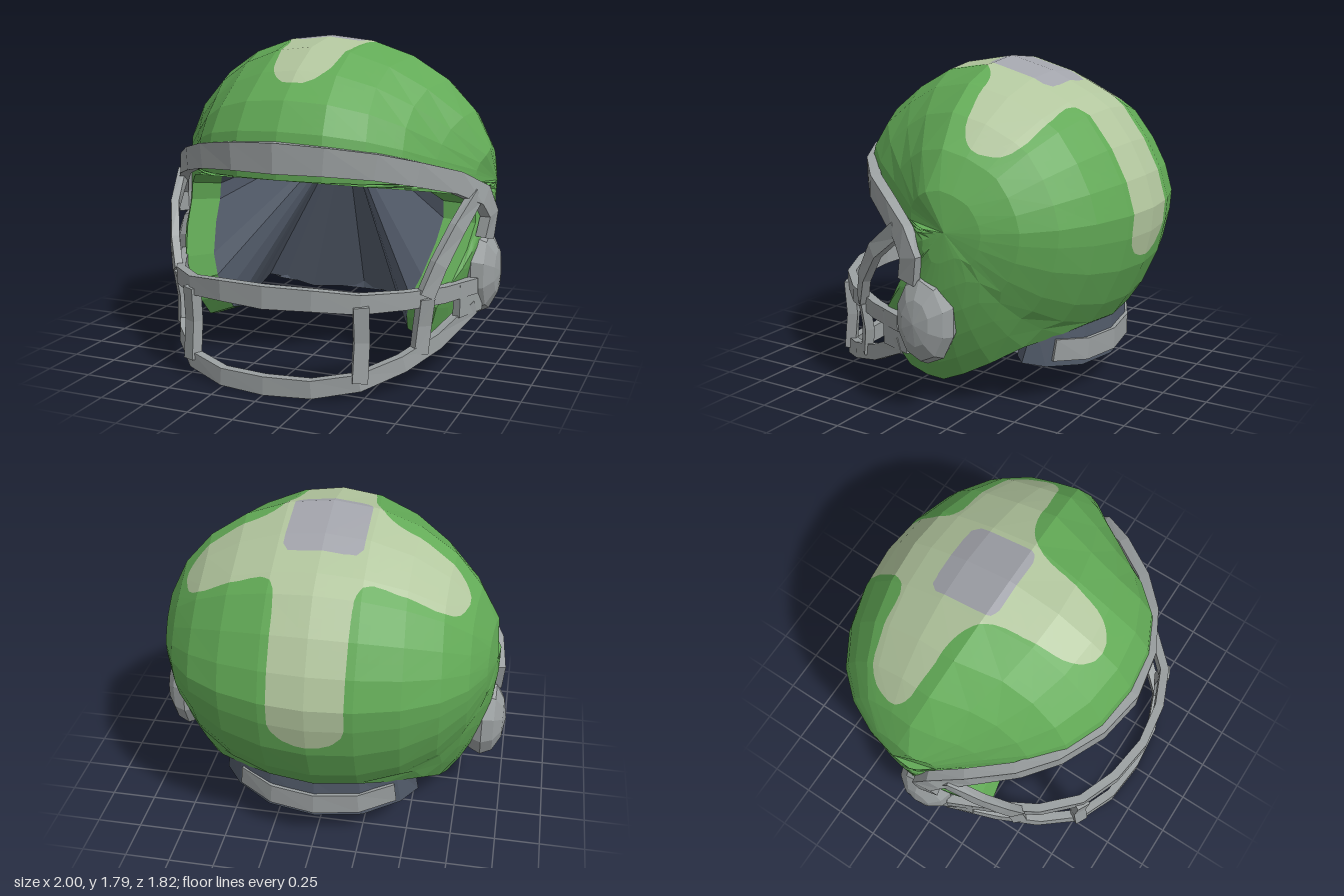
import * as THREE from 'three';

const V = (x, y, z) => new THREE.Vector3(x, y, z);
const mat = (name, color, side = THREE.FrontSide) => {
  const m = new THREE.MeshStandardMaterial({ color, side });
  m.name = name;
  return m;
};

// Flat-faced mesh from a list of triangles, each an array of three points
function triMesh(name, tris, material) {
  const g = new THREE.BufferGeometry().setFromPoints(tris.flat());
  g.computeVertexNormals();
  const mesh = new THREE.Mesh(g, material);
  mesh.name = name;
  return mesh;
}

// Rectangular bar swept along points, kept facing out from the helmet's axis
function bar(name, pts, width, thick, material) {
  const rings = pts.map((p, i) => {
    const t = pts[Math.min(i + 1, pts.length - 1)].clone().sub(pts[Math.max(i - 1, 0)]).normalize();
    const o = V(p.x, 0, p.z + 0.15);
    o.addScaledVector(t, -o.dot(t)).normalize();
    const h = t.clone().cross(o);
    const w = (typeof width === 'function' ? width(p) : width) / 2;
    return [[1, -1], [1, 1], [-1, 1], [-1, -1]].map(([a, b]) =>
      p.clone().addScaledVector(o, a * thick / 2).addScaledVector(h, b * w));
  });
  const tris = [];
  const quad = (a, b, c, d) => tris.push([a, b, c], [a, c, d]);
  for (let i = 0; i + 1 < rings.length; i++)
    for (let k = 0; k < 4; k++) {
      const n = (k + 1) % 4;
      quad(rings[i][k], rings[i][n], rings[i + 1][n], rings[i + 1][k]);
    }
  const s = rings[0], e = rings[rings.length - 1];
  quad(s[3], s[2], s[1], s[0]);
  quad(e[0], e[1], e[2], e[3]);
  return triMesh(name, tris, material);
}
const path = (list, sx = 1) => list.map(([x, y, z]) => V(x * sx, y, z));
// Full left-to-right path from a half path that starts on the centre line
const across = list => [...path(list.slice(1), -1).reverse(), ...path(list)];

// Side outline of the shell as [z, y, half width]: brow, crown, back, neck, cheek, opening
const W = 0.95, CY = 1, CZ = -0.2, RINGS = 6, NECK = 16;
const OUTLINE = [
  [.72, 1.09, 0], [.73, 1.25, 0], [.71, 1.34, 0], [.62, 1.49, 0], [.45, 1.63, 0], [.25, 1.74, 0],
  [-.04, 1.79, 0], [-.3, 1.72, 0], [-.53, 1.61, 0], [-.64, 1.54, 0], [-.77, 1.37, 0], [-.86, 1.2, 0],
  [-.91, 1.03, 0], [-.9, .9, 0], [-.86, .72, 0], [-.77, .52, 0], [-.69, .4, 0],
  [-.58, .38, .4], [-.45, .34, .6], [-.3, .25, .68], [-.15, .17, .7], [-.03, .12, .7], [.08, .12, .69],
  [.2, .15, .68], [.27, .25, .7], [.31, .38, .74], [.26, .5, .8], [.14, .67, .862],
  [.05, .8, .905], [.04, .9, .915], [.13, .965, .886], [.28, 1, .81], [.45, 1.035, .67], [.6, 1.065, .458],
];
// The shell narrows towards the brow and a little towards the back
function taper(y, z) {
  const bump = t => Math.sin(Math.PI * THREE.MathUtils.clamp(t, 0, 1));
  const high = THREE.MathUtils.smoothstep(y, 0.6, 0.95);
  return 1 - 0.14 * high * bump((z + 0.06) / 0.8) - 0.04 * bump((-0.06 - z) / 0.7);
}
function shellPoint(j, i) {
  const [z, y, x] = OUTLINE[j % OUTLINE.length];
  const end = Math.acos(x / W), phi = end * i / RINGS;
  const k = Math.sin(phi) / Math.sin(end);
  const py = CY + (y - CY) * k, pz = CZ + (z - CZ) * k;
  return V(W * Math.cos(phi) * taper(py, pz), py, pz);
}
const inward = p => V(p.x * 0.79, CY + (p.y - CY) * 0.94, CZ + (p.z - CZ) * 0.94);
// Edge of the liner: the inner rim, hanging lower at the neck
function linerEdge(p) {
  const q = inward(p), drop = 1 - THREE.MathUtils.smoothstep(q.z, -0.6, -0.25);
  return V(q.x, q.y - 0.25 * drop, q.z + 0.07 * drop);
}

// Painted regions as signed distances
function roundBox(x, y, w, h, r) {
  const dx = Math.abs(x) - w + r, dy = Math.abs(y) - h + r;
  return Math.hypot(Math.max(dx, 0), Math.max(dy, 0)) + Math.min(Math.max(dx, dy), 0) - r;
}
const squareField = p => p.y < 1 ? 1 : roundBox(p.x, p.z + 0.2, 0.21, 0.2, 0.05);
function crossField(p) {
  const a = Math.atan2(p.z - CZ, p.y - CY), b = Math.atan2(Math.abs(p.x), p.y - CY);
  const long = roundBox(p.x * (1 + 0.7 * Math.max(0, a - 0.45)), (a + 0.5) * 0.8, 0.2, 1.12, 0.17);
  const side = roundBox(b * 0.8, (p.z + 0.335) * (1 + 0.9 * Math.max(0, b - 0.7)), 0.89, 0.19, 0.15);
  const k = p.z > -0.3 ? 0.32 : 0.14, h = Math.max(k - Math.abs(long - side), 0) / k;
  return Math.min(long, side) - h * h * k / 4;
}
// Part of a triangle where sign * field is negative, as triangles
function clip(tri, field, sign) {
  const out = [], f = tri.map(p => field(p) * sign);
  tri.forEach((p, i) => {
    const n = (i + 1) % 3;
    if (f[i] <= 0) out.push(p);
    if ((f[i] < 0) !== (f[n] < 0) && f[i] !== f[n]) out.push(p.clone().lerp(tri[n], f[i] / (f[i] - f[n])));
  });
  return out.slice(2).map((p, i) => [out[0], out[i + 1], p]);
}
function subdivide(tri, level) {
  if (!level) return [tri];
  const [a, b, c] = tri;
  const m = (p, q) => p.clone().lerp(q, 0.5);
  const ab = m(a, b), bc = m(b, c), ca = m(c, a);
  return [[a, ab, ca], [ab, b, bc], [ca, bc, c], [ab, bc, ca]].flatMap(t => subdivide(t, level - 1));
}

export function createModel() {
  const green = mat('shell green', 0x62aa56, THREE.DoubleSide);
  const pale = mat('pale stripe', 0xb2c69e);
  const crown = mat('crown grey', 0xa2a4ab);
  const metal = mat('guard grey', 0x9a9fa0);
  const slate = mat('padding slate', 0x535c6b, THREE.DoubleSide);
  const model = new THREE.Group();
  model.name = 'helmet';

  // Shell, rim and a liner that fans from the rim to a point: one half, then its mirror image
  const outer = [], liner = [], rim = [], apex = V(0, 1.22, -0.25);
  for (let j = 0; j < OUTLINE.length; j++) {
    for (let i = 0; i < RINGS; i++) {
      const a = shellPoint(j, i), b = shellPoint(j + 1, i);
      const c = shellPoint(j + 1, i + 1), d = shellPoint(j, i + 1);
      outer.push([a, c, d]);
      if (i) outer.push([a, b, c]);
    }
    if (j < NECK) continue;
    const p = shellPoint(j, RINGS), q = shellPoint(j + 1, RINGS);
    rim.push([p, q, inward(q)], [p, inward(q), inward(p)]);
    liner.push([linerEdge(p), linerEdge(q), apex]);
  }
  const both = tris => [...tris, ...tris.map(t => t.map(p => V(-p.x, p.y, p.z)).reverse())];
  const fine = both(outer).flatMap(t => subdivide(t, 2));
  const notSquare = fine.flatMap(t => clip(t, squareField, -1));
  model.add(
    triMesh('crownPanel', fine.flatMap(t => clip(t, squareField, 1)), crown),
    triMesh('crossStripe', notSquare.flatMap(t => clip(t, crossField, 1)), pale),
    triMesh('shell', notSquare.flatMap(t => clip(t, crossField, -1)), green),
    triMesh('shellRim', both(rim), green),
    triMesh('liner', both(liner), slate));

  // Band around the face opening
  model.add(bar('browBand', across([[0, 1.21, .74], [.25, 1.2, .695], [.48, 1.17, .58], [.65, 1.12, .43],
    [.81, 1.05, .22], [.91, .96, .06], [.935, .85, -.005], [.92, .72, .02]]),
  p => 0.11 + 0.05 * Math.max(0, 1 - Math.abs(p.x)), 0.06, metal));

  // Face guard
  model.add(
    bar('upperGuardBar', across([[0, .52, .885], [.25, .52, .85], [.47, .5, .76], [.65, .49, .58],
      [.78, .47, .34], [.89, .47, .1]]), p => 0.12 - 0.04 * Math.abs(p.x), 0.05, metal),
    bar('lowerGuardBar', across([[0, .05, .885], [.25, .055, .86], [.47, .09, .77], [.64, .15, .58],
      [.76, .22, .36], [.88, .35, .1]]), p => 0.1 - 0.02 * Math.abs(p.x), 0.05, metal));
  for (const s of [1, -1]) {
    model.add(
      bar('frontPost', path([[.48, .49, .765], [.48, .3, .75], [.48, .09, .775]], s), 0.08, 0.06, metal),
      bar('sidePost', path([[.73, .48, .47], [.71, .33, .46], [.7, .18, .48]], s), 0.085, 0.05, metal),
      bar('guardUpright', path([[.89, .97, .11], [.84, .82, .3], [.78, .65, .42], [.73, .49, .48]], s),
        0.09, 0.045, metal),
      bar('guardMount', path([[.83, .41, .24], [.9, .41, .04]], s), 0.18, 0.045, metal));

    // Faceted ear cover
    const g = new THREE.SphereGeometry(1, 10, 6).rotateZ(-Math.PI / 2).toNonIndexed();
    g.scale(0.13, 0.25, 0.17);
    g.computeVertexNormals();
    const ear = new THREE.Mesh(g, metal);
    ear.name = 'earCover';
    ear.position.set(0.87 * s, 0.52, -0.05);
    model.add(ear);
  }

  // Neck padding with its trim
  const neck = [[0, .29, -.63], [.24, .3, -.595], [.42, .33, -.5], [.5, .36, -.42]];
  const trim = [[0, .26, -.685], [.24, .27, -.65], [.43, .3, -.55]];
  model.add(
    bar('neckPad', across(neck), 0.24, 0.1, slate),
    bar('neckPadTrim', across(trim), 0.12, 0.03, metal));
  return model;
}
